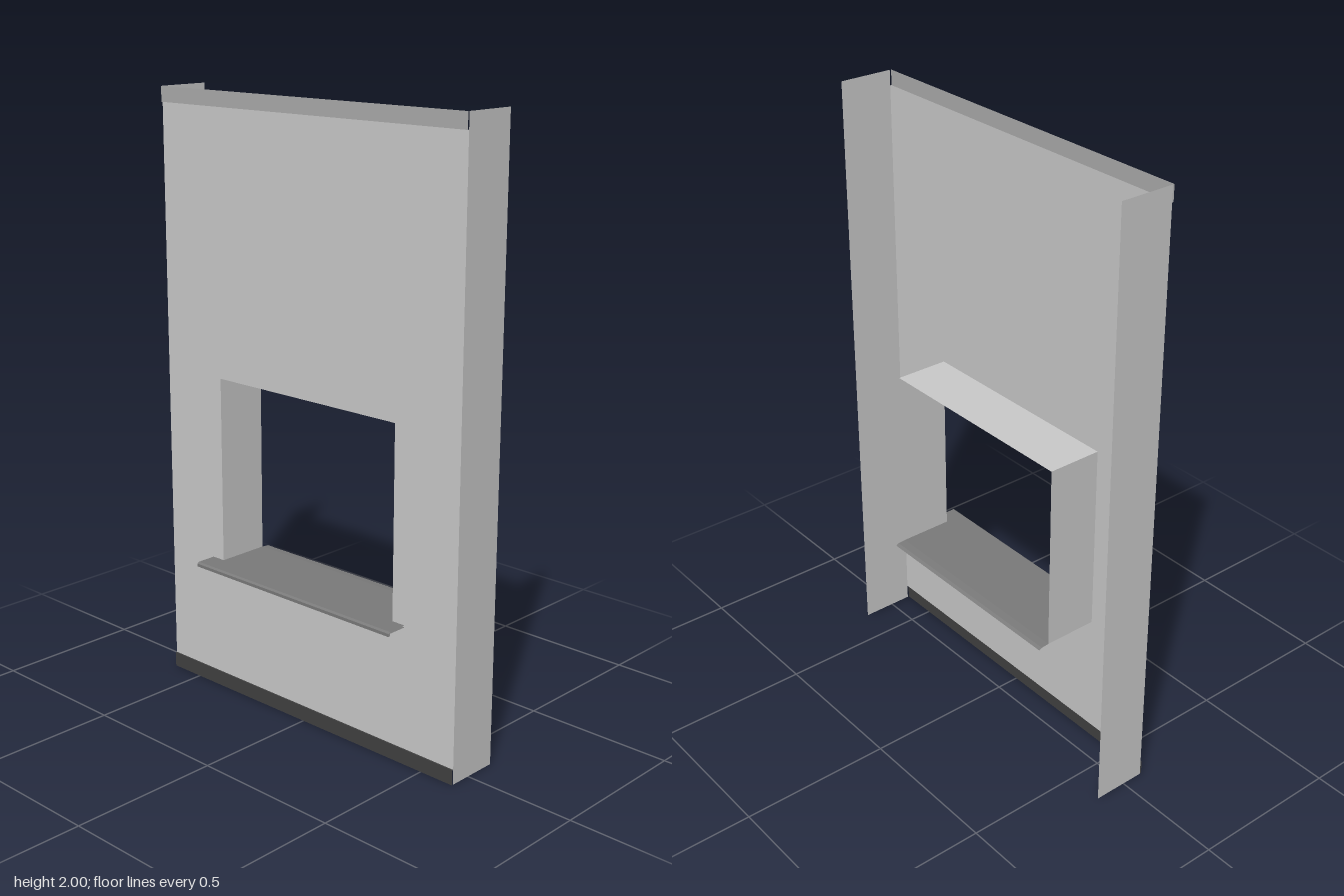
import * as THREE from 'three';

const W = 0.623, H = 2, FRONT = 0.072, BACK = -0.109; // panel half width, height, depth
const HEM = 0.05, HEM_Z = 0.077;                      // folded strips along top and bottom
const WIN = 0.374, SILL = 0.458, HEAD = 1.083;        // window opening

const material = (color) =>
  new THREE.MeshStandardMaterial({ color, flatShading: true, side: THREE.DoubleSide });
const grey = material(0xcccccc);
const topGrey = material(0xadadad);
const sillGrey = material(0x7b7b7b);
const darkGrey = material(0x414141);

// Folded sheet: a profile of [z, y] points swept across x from -half to half
function foldedSheet(name, profile, half, mat) {
  const pos = [];
  for (let i = 0; i < profile.length - 1; i++) {
    const [z0, y0] = profile[i], [z1, y1] = profile[i + 1];
    pos.push(-half, y0, z0, half, y0, z0, half, y1, z1);
    pos.push(-half, y0, z0, half, y1, z1, -half, y1, z1);
  }
  const geo = new THREE.BufferGeometry();
  geo.setAttribute('position', new THREE.Float32BufferAttribute(pos, 3));
  geo.computeVertexNormals();
  const mesh = new THREE.Mesh(geo, mat);
  mesh.name = name;
  return mesh;
}

// Upright sheet across the depth, facing the given side
function sideSheet(name, x, y0, y1) {
  const geo = new THREE.PlaneGeometry(FRONT - BACK, y1 - y0);
  geo.rotateY(Math.sign(x) * Math.PI / 2);
  geo.translate(x, (y0 + y1) / 2, (FRONT + BACK) / 2);
  const mesh = new THREE.Mesh(geo, grey);
  mesh.name = name;
  return mesh;
}

function rectangle(target, x, y0, y1) {
  target.moveTo(-x, y0).lineTo(x, y0).lineTo(x, y1).lineTo(-x, y1).closePath();
  return target;
}

export function createModel() {
  const model = new THREE.Group();
  model.name = 'windowPanel';

  // Front sheet with the window opening
  const shape = rectangle(new THREE.Shape(), W, HEM, H - HEM);
  shape.holes.push(rectangle(new THREE.Path(), WIN, SILL, HEAD));
  const front = new THREE.Mesh(new THREE.ShapeGeometry(shape).translate(0, 0, FRONT), grey);
  front.name = 'frontSheet';
  model.add(front);

  // Stepped strips along the top and bottom edges
  model.add(foldedSheet('topStrip', [[FRONT, H - HEM], [HEM_Z, H - HEM], [HEM_Z, H]], W, topGrey));
  model.add(foldedSheet('bottomStrip', [[HEM_Z, 0], [HEM_Z, HEM], [FRONT, HEM]], W, darkGrey));

  // Side flanges and window jambs
  for (const [side, s] of [['left', 1], ['right', -1]]) {
    model.add(sideSheet(side + 'Flange', s * W, 0, H));
    model.add(sideSheet(side + 'Jamb', s * WIN, SILL, HEAD));
  }

  // Window head
  model.add(foldedSheet('windowHead', [[FRONT, HEAD], [BACK, HEAD]], WIN, grey));

  // Sill: inner board with a drooping back edge, and a wider folded nose in front
  model.add(foldedSheet('sillBoard',
    [[FRONT, SILL], [BACK, SILL], [-0.135, SILL - 0.002], [-0.145, SILL - 0.008]], WIN, sillGrey));
  model.add(foldedSheet('sillNose',
    [[FRONT, SILL], [0.139, SILL], [0.145, SILL - 0.005], [0.145, 0.443],
      [0.14, 0.443], [0.138, SILL - 0.006], [FRONT, SILL - 0.006]], 0.423, sillGrey));

  return model;
}
